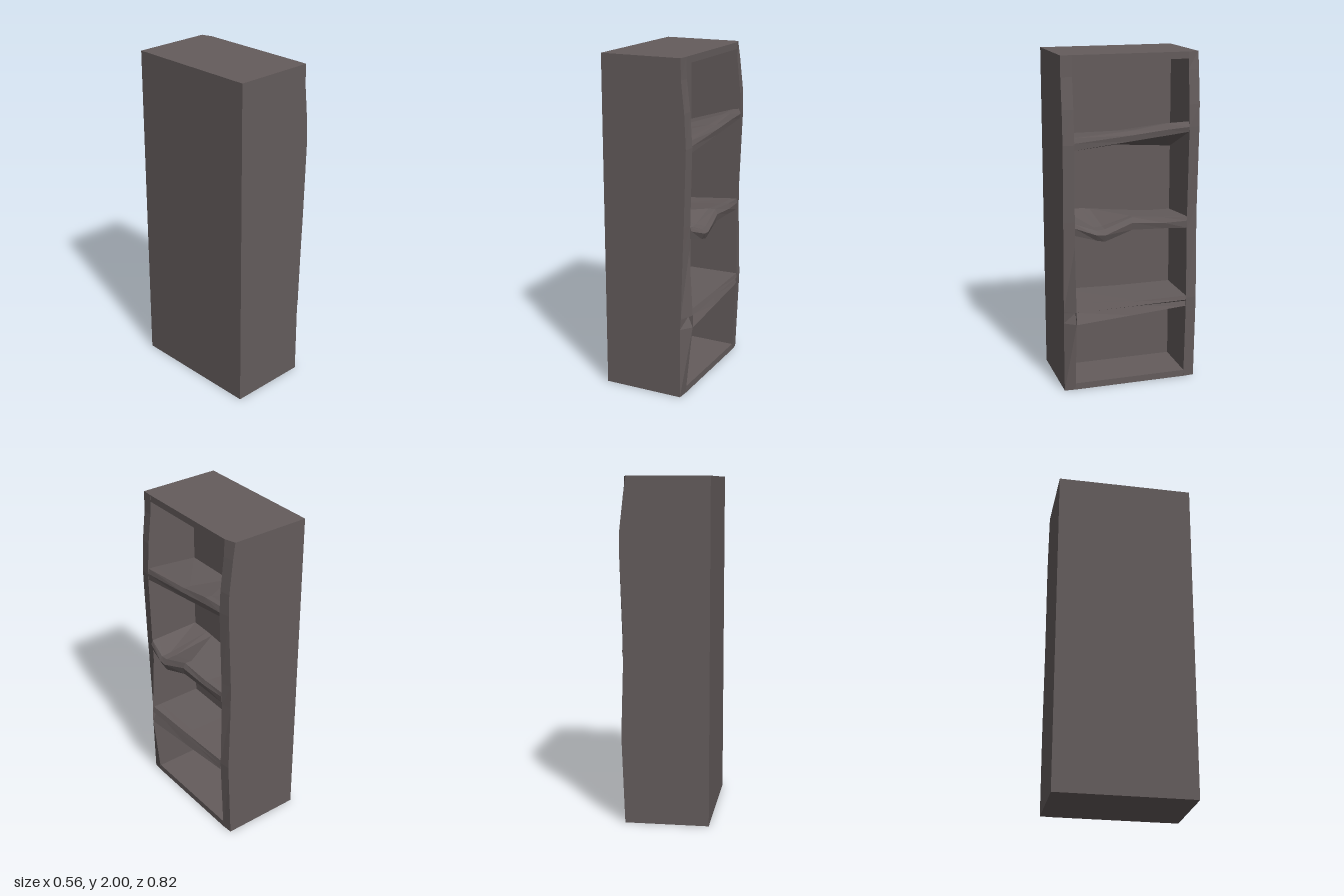
import * as THREE from 'three';

// Closed flat-shaded loft through equal-length rings of [x, y, z] points
function loft(rings) {
  const pos = [];
  const tri = (a, b, c) => pos.push(...a, ...b, ...c);
  const n = rings[0].length;
  for (let i = 0; i < rings.length - 1; i++) {
    for (let j = 0; j < n; j++) {
      const k = (j + 1) % n;
      const a = rings[i][j], b = rings[i][k], c = rings[i + 1][k], d = rings[i + 1][j];
      tri(a, b, c);
      tri(a, c, d);
    }
  }
  const first = rings[0], last = rings[rings.length - 1];
  for (let j = 1; j < n - 1; j++) {
    tri(first[0], first[j + 1], first[j]);
    tri(last[0], last[j], last[j + 1]);
  }
  const g = new THREE.BufferGeometry();
  g.setAttribute('position', new THREE.Float32BufferAttribute(pos, 3));
  g.computeVertexNormals();
  return g;
}

export function createModel() {
  const group = new THREE.Group();
  const wood = new THREE.MeshStandardMaterial({ color: 0x645c5c, flatShading: true });
  wood.name = 'dark wood';

  const add = (name, geometry) => {
    const mesh = new THREE.Mesh(geometry, wood);
    mesh.name = name;
    group.add(mesh);
    return mesh;
  };

  const BACK = -0.275, WALL = -0.08, IN = 0.345, OUT = 0.411;

  // Side panels with worn front edges: [y, inner edge x, outer edge x]
  const leftEdge = [
    [0, 0.22, 0.215], [0.43, 0.265, 0.215], [0.495, 0.237, 0.22], [0.505, 0.265, 0.22],
    [0.9, 0.242, 0.232], [1.05, 0.247, 0.238], [1.5, 0.258, 0.25], [1.7, 0.245, 0.24],
    [1.88, 0.224, 0.22], [2, 0.22, 0.218],
  ];
  const rightEdge = [
    [0, 0.22, 0.215], [0.43, 0.24, 0.232], [0.52, 0.243, 0.235], [0.95, 0.235, 0.222],
    [1.1, 0.238, 0.222], [1.57, 0.253, 0.24], [1.7, 0.247, 0.238], [1.9, 0.225, 0.215],
    [2, 0.22, 0.2],
  ];
  add('front side panel', loft(leftEdge.map(([y, xi, xo]) =>
    [[xo, y, OUT], [xi, y, IN], [BACK, y, IN], [BACK, y, OUT]])));
  add('rear side panel', loft(rightEdge.map(([y, xi, xo]) =>
    [[xi, y, -IN], [xo, y, -OUT], [BACK, y, -OUT], [BACK, y, -IN]])));

  // Back, top and bottom boards between the sides
  const board = (name, x0, x1, y0, y1) => {
    const mesh = add(name, new THREE.BoxGeometry(x1 - x0, y1 - y0, IN * 2));
    mesh.position.set((x0 + x1) / 2, (y0 + y1) / 2, 0);
  };
  board('back board', BACK, WALL, 0, 2);
  board('top board', WALL, 0.22, 1.96, 2);
  board('bottom board', WALL, 0.22, 0, 0.04);

  // Warped shelves: rows of [z, front outline from top to bottom, back top y, back bottom y]
  const shelf = (name, rows) => add(name, loft(rows.map(([z, front, top, bottom]) => [
    ...front.map(([x, y]) => [x, y, z]).reverse(),
    [0.2, top + (front[0][1] - top) * 0.93, z],
    [WALL, top, z], [WALL, bottom, z],
  ])));

  shelf('upper shelf', [
    [-IN, [[0.24, 1.60], [0.253, 1.57], [0.245, 1.54]], 1.51, 1.40],
    [-0.2, [[0.242, 1.595], [0.254, 1.56], [0.247, 1.525]], 1.51, 1.41],
    [0, [[0.245, 1.565], [0.256, 1.54], [0.25, 1.505]], 1.51, 1.425],
    [IN, [[0.25, 1.54], [0.258, 1.51], [0.255, 1.47]], 1.51, 1.45],
  ]);
  shelf('middle shelf', [
    [-IN, [[0.235, 1.03], [0.24, 1.005], [0.235, 0.96]], 1.0, 0.93],
    [-0.2, [[0.24, 1.035], [0.25, 1.005], [0.24, 0.97]], 1.0, 0.935],
    [0, [[0.245, 1.055], [0.26, 1.025], [0.25, 0.98]], 1.02, 0.94],
    [0.17, [[0.262, 1.0], [0.28, 0.968], [0.262, 0.925]], 1.04, 0.945],
    [0.22, [[0.262, 0.995], [0.278, 0.97], [0.26, 0.935]], 1.045, 0.945],
    [IN, [[0.245, 1.04], [0.255, 1.015], [0.245, 0.97]], 1.05, 0.95],
  ]);
  shelf('lower shelf', [
    [-IN, [[0.24, 0.535], [0.245, 0.51], [0.235, 0.50], [0.242, 0.47]], 0.53, 0.48],
    [0, [[0.247, 0.535], [0.256, 0.508], [0.237, 0.50], [0.254, 0.45]], 0.53, 0.48],
    [IN, [[0.255, 0.54], [0.266, 0.507], [0.237, 0.497], [0.266, 0.43]], 0.54, 0.48],
  ]);

  return group;
}
